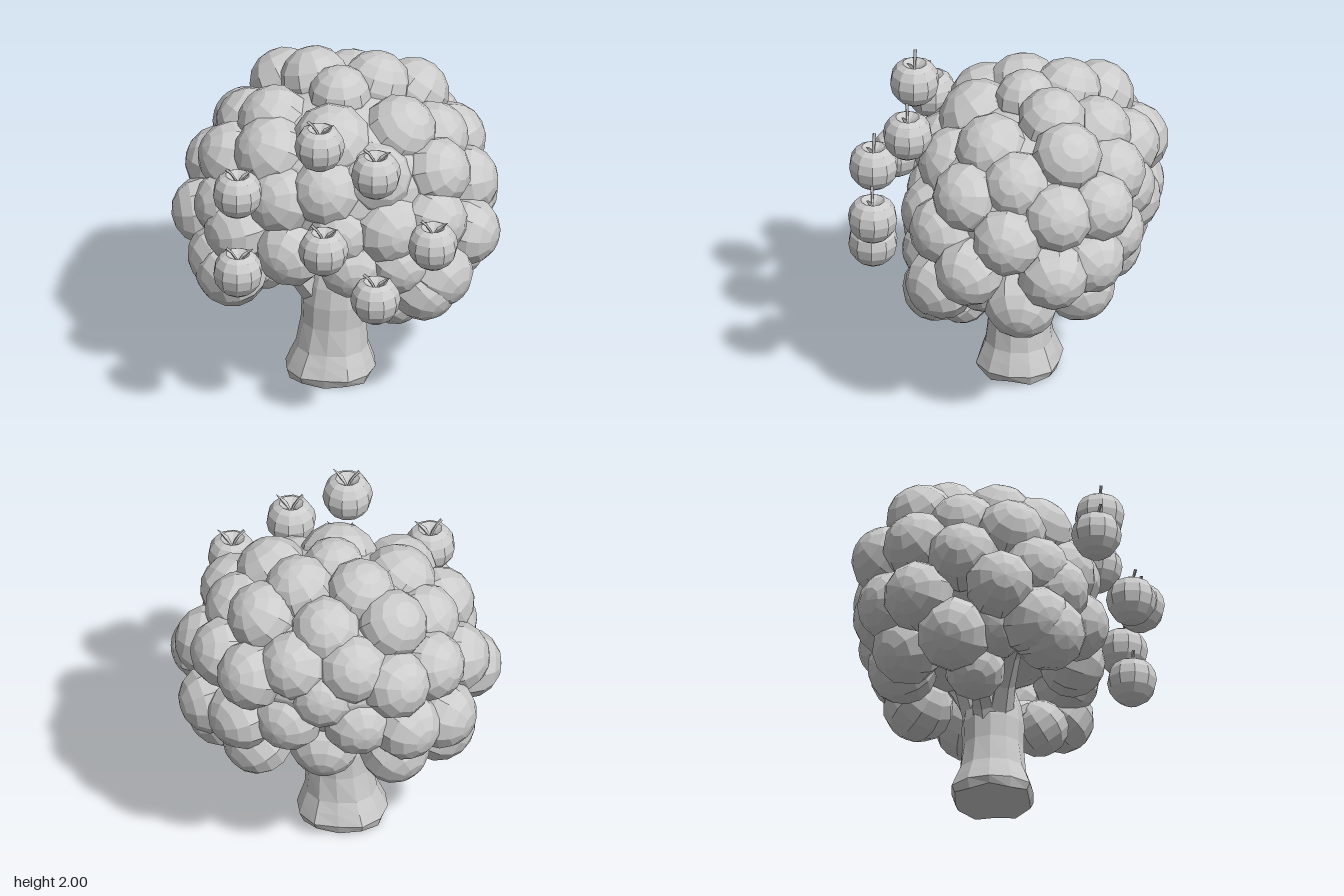
import * as THREE from 'three';

const clay = new THREE.MeshStandardMaterial({ color: 0xcccccc, flatShading: true });
clay.name = 'light grey';

function add(parent, geometry, name) {
  const mesh = new THREE.Mesh(geometry, clay);
  mesh.name = name;
  parent.add(mesh);
  return mesh;
}

// Curved limb through points [x, y, z, radius], built as a tube whose rings are rescaled
function limb(parent, name, points, segments = 4, sides = 7) {
  const curve = new THREE.CatmullRomCurve3(points.map(([x, y, z]) => new THREE.Vector3(x, y, z)));
  const geo = new THREE.TubeGeometry(curve, segments, 1, sides);
  const pos = geo.attributes.position;
  const v = new THREE.Vector3();
  for (let i = 0; i < pos.count; i++) {
    const t = Math.floor(i / (sides + 1)) / segments;
    const c = curve.getPointAt(t);
    const f = t * (points.length - 1), k = Math.min(Math.floor(f), points.length - 2);
    const r = THREE.MathUtils.lerp(points[k][3], points[k + 1][3], f - k);
    v.fromBufferAttribute(pos, i).sub(c).multiplyScalar(r).add(c);
    pos.setXYZ(i, v.x, v.y, v.z);
  }
  geo.computeVertexNormals();
  add(parent, geo, name);
}

// Lumpy trunk with a flared, slightly squared foot
function buildTrunk() {
  const g = new THREE.Group();
  g.name = 'trunk';
  const profile = [[0, 0.04], [0.25, 0.01], [0.272, 0.06], [0.245, 0.13], [0.215, 0.2], [0.193, 0.36], [0.197, 0.5],
    [0.18, 0.62], [0.13, 0.76], [0.12, 0.98], [0, 0.98]].map(([r, y]) => new THREE.Vector2(r, y));
  const geo = new THREE.LatheGeometry(profile, 12);
  const pos = geo.attributes.position;
  for (let i = 0; i < pos.count; i++) {
    const x = pos.getX(i), y = pos.getY(i), z = pos.getZ(i);
    const a = Math.atan2(z, x);
    const flare = Math.max(0, 1 - y / 0.36);
    const k = 1 + flare * (0.02 * Math.cos(a * 6) - 0.05 * Math.cos(a * 4));
    const dip = y < 0.03 ? 0.01 * Math.cos(a * 6) : 0;
    pos.setXYZ(i, x * k - 0.05 + Math.min(y, 0.6) * 0.06, y + dip, z * k * 0.93 - 0.09);
  }
  add(g, geo, 'trunkBody');

  // Branches bending outwards into the crown
  limb(g, 'branchRight', [[-0.09, 0.36, -0.07, 0.1], [-0.13, 0.57, -0.06, 0.1], [-0.28, 0.75, 0, 0.07], [-0.48, 0.92, 0.1, 0.06]]);
  limb(g, 'branchLowRight', [[-0.08, 0.36, -0.1, 0.1], [-0.14, 0.54, -0.12, 0.09], [-0.28, 0.63, -0.14, 0.065], [-0.42, 0.67, -0.16, 0.05]]);
  limb(g, 'branchLeft', [[0.06, 0.36, -0.07, 0.1], [0.1, 0.56, -0.06, 0.085], [0.22, 0.72, 0.02, 0.05], [0.42, 0.82, 0.12, 0.04]]);
  limb(g, 'branchBackLeft', [[0.05, 0.36, -0.13, 0.1], [0.08, 0.56, -0.16, 0.095], [0.2, 0.76, -0.24, 0.07], [0.38, 0.98, -0.36, 0.06]]);
  limb(g, 'branchBackRight', [[-0.04, 0.4, -0.14, 0.11], [-0.05, 0.62, -0.17, 0.11], [-0.1, 0.8, -0.24, 0.1], [-0.16, 1.0, -0.34, 0.09]]);
  return g;
}

// Leaf clumps: [x, y, z, radius]
const mirrored = [
  [0.18, 1.79, -0.34, 0.195], [0.38, 1.68, -0.48, 0.2], [0.37, 1.66, -0.03, 0.21], [0.54, 1.54, -0.22, 0.2],
  [0.17, 1.5, -0.69, 0.2], [0.42, 1.4, -0.68, 0.2], [0.6, 1.4, -0.48, 0.2], [0.6, 1.46, 0.06, 0.2],
  [0.72, 1.27, -0.21, 0.2], [0.77, 1.06, 0.01, 0.195], [0.67, 1.05, -0.47, 0.2], [0.63, 0.88, 0.21, 0.205],
  [0.63, 0.82, -0.27, 0.21], [0.2, 1.13, -0.69, 0.2], [0.48, 1.08, -0.64, 0.2], [0.4, 0.84, -0.56, 0.2],
  [0.6, 1.22, 0.2, 0.2], [0.56, 0.9, -0.03, 0.19],
];
const single = [
  [0, 1.81, -0.14, 0.175], [0, 1.66, -0.56, 0.2], [0, 1.32, -0.71, 0.195], [0, 0.9, -0.62, 0.2],
  [0, 1.64, 0.14, 0.23], [0.27, 1.48, 0.22, 0.21], [-0.35, 1.57, 0.18, 0.215], [-0.26, 1.35, 0.3, 0.22],
  [0, 1.43, 0.33, 0.205], [0.36, 1.2, 0.3, 0.21], [0.08, 1.18, 0.36, 0.19], [-0.2, 1.05, 0.4, 0.2],
  [0.15, 0.97, 0.36, 0.19], [-0.52, 1.12, 0.3, 0.205], [-0.57, 0.83, 0.28, 0.21], [0.42, 0.98, 0.3, 0.19],
  [0.56, 0.8, 0.26, 0.19], [-0.45, 0.67, -0.16, 0.17], [0.38, 0.67, 0.15, 0.165],
];

function buildCrown() {
  const g = new THREE.Group();
  g.name = 'crown';
  const core = add(g, new THREE.SphereGeometry(1, 18, 12), 'crownCore');
  core.scale.set(0.75, 0.5, 0.65);
  core.position.set(0, 1.32, -0.19);
  const clumps = [...single, ...mirrored, ...mirrored.map(([x, y, z, r]) => [-x, y, z, r])];
  const ball = new THREE.SphereGeometry(1, 10, 8);
  const centre = new THREE.Vector3(0, 1.15, -0.18);
  clumps.forEach(([x, y, z, r], i) => {
    const m = add(g, ball, 'leafClump');
    m.position.set(x, y, z);
    // Poles point outwards, with a varied spin
    const out = m.position.clone().sub(centre).normalize();
    m.quaternion.setFromUnitVectors(new THREE.Vector3(0, 1, 0), out);
    m.rotateY(i * 1.7);
    m.scale.set(r * 1.05, r, r * 1.05);
  });
  return g;
}

// Round fruit with a dimple, a bent stem and a narrow leaf
const fruitProfile = [[0, -0.142], [0.05, -0.138], [0.1, -0.105], [0.134, -0.055], [0.147, 0.005], [0.136, 0.06],
  [0.108, 0.105], [0.07, 0.125], [0.035, 0.1], [0, 0.06]].map(([r, y]) => new THREE.Vector2(r, y));
const fruitGeometry = new THREE.LatheGeometry(fruitProfile, 10);

function buildFruit(x, y, z, turn) {
  const g = new THREE.Group();
  g.name = 'fruit';
  add(g, fruitGeometry, 'fruitBody');
  limb(g, 'stem', [[0, 0.06, 0, 0.007], [-0.025, 0.125, 0.008, 0.008], [-0.068, 0.174, 0.022, 0.01]], 3, 5);
  limb(g, 'fruitLeaf', [[0, 0.06, 0, 0.004], [0.04, 0.125, 0.008, 0.014], [0.09, 0.168, 0.015, 0.002]], 4, 4);
  g.position.set(x, y, z);
  g.rotation.y = turn;
  return g;
}

export function createModel() {
  const tree = new THREE.Group();
  tree.name = 'fruitTree';
  tree.add(buildTrunk(), buildCrown());
  const fruits = [
    [-0.01, 1.825, 0.53], [0.315, 1.65, 0.49], [-0.49, 1.485, 0.55], [0.05, 1.265, 0.76],
    [0.67, 1.275, 0.61], [-0.455, 1.075, 0.75], [0.345, 0.93, 0.69],
  ];
  fruits.forEach(([x, y, z], i) => tree.add(buildFruit(x, y, z, ((i % 3) - 1) * 0.12)));
  return tree;
}
